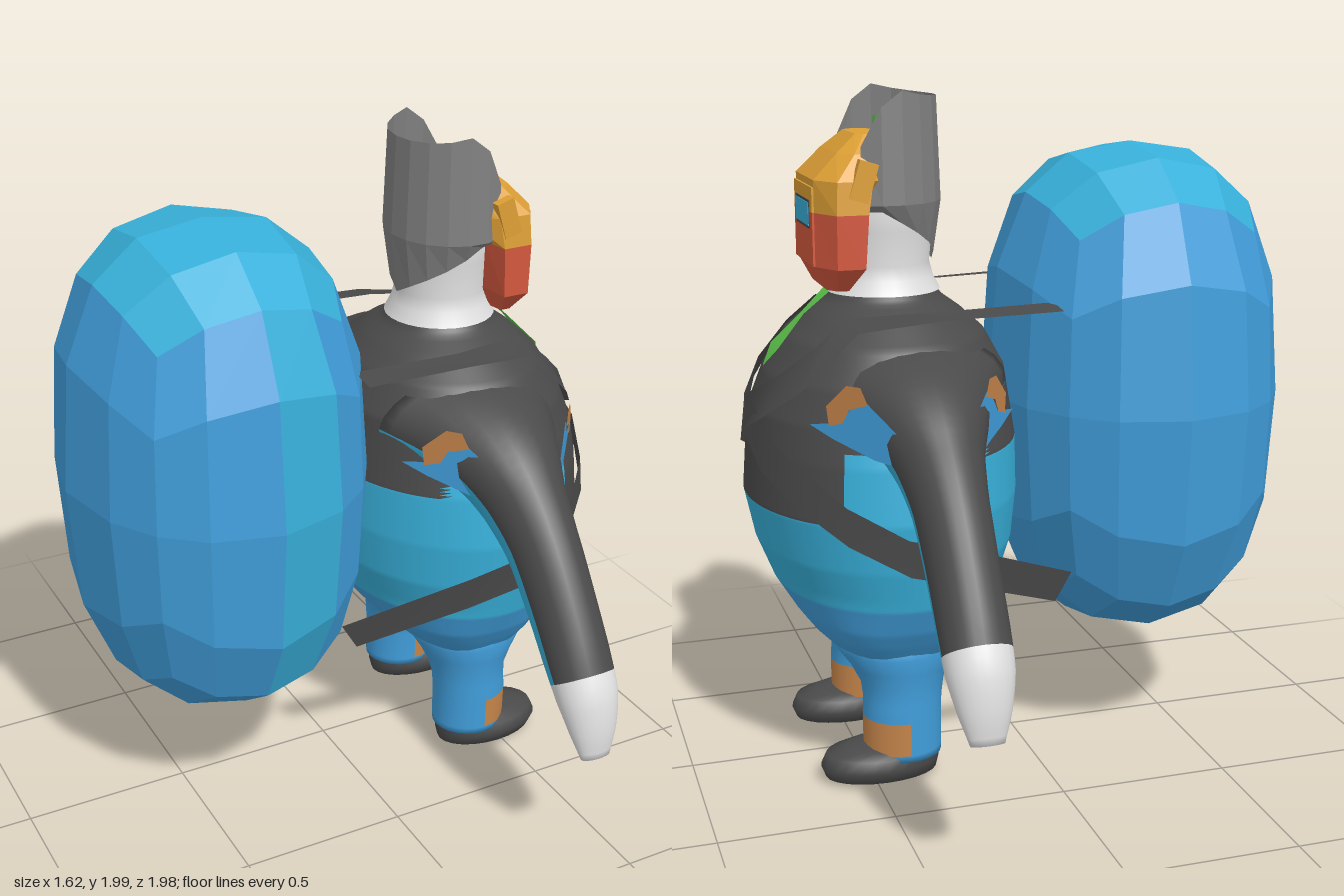
import * as THREE from 'three';

const mat = (name, color, side = THREE.FrontSide) => {
  const m = new THREE.MeshStandardMaterial({ color, side });
  m.name = name;
  return m;
};
const M = {
  dark: mat('charcoal', 0x4a4a4a, THREE.DoubleSide),
  grey: mat('grey', 0x808080, THREE.DoubleSide),
  white: mat('offWhite', 0xe2e2e2),
  amber: mat('amber', 0xdd9f35),
  tan: mat('tan', 0xc4844a, THREE.DoubleSide),
  red: mat('red', 0xd5593f),
  green: mat('green', 0x5cc24a, THREE.DoubleSide),
  blue: mat('blue', 0x419edb, THREE.DoubleSide),
  cyan: mat('cyan', 0x38b0da),
};
const V = (x, y, z) => new THREE.Vector3(x, y, z);
const lerp = THREE.MathUtils.lerp;

function add(group, name, geo, material) {
  const mesh = new THREE.Mesh(geo, material);
  mesh.name = name;
  group.add(mesh);
  return mesh;
}

// Closed skin over rings of points, both ends capped, always facing outwards
function loft(rings, flat = false) {
  const n = rings[0].length, last = rings.length - 1, pts = rings.flat(), tri = [];
  for (let i = 0; i < last; i++) {
    for (let j = 0; j < n; j++) {
      const a = i * n + j, b = i * n + (j + 1) % n;
      tri.push([a, b, a + n], [b, b + n, a + n]);
    }
  }
  for (const i of [0, last]) {
    const c = pts.length;
    pts.push(rings[i].reduce((s, p) => s.add(p), V(0, 0, 0)).divideScalar(n));
    for (let j = 0; j < n; j++) {
      const a = i * n + j, b = i * n + (j + 1) % n;
      tri.push(i ? [a, b, c] : [b, a, c]);
    }
  }
  const mid = pts[pts.length - 1].clone().lerp(pts[pts.length - 2], 0.5);
  let volume = 0;
  for (const [a, b, c] of tri) {
    volume += pts[a].clone().sub(mid).dot(pts[b].clone().sub(mid).cross(pts[c].clone().sub(mid)));
  }
  if (volume < 0) tri.forEach(t => t.reverse());
  let geo = new THREE.BufferGeometry().setFromPoints(pts);
  geo.setIndex(tri.flat());
  if (flat) geo = geo.toNonIndexed();
  geo.computeVertexNormals();
  return geo;
}

// Sort triangles into colour groups by a rule on their centre and quad number
function paint(group, name, geo, rule) {
  const pos = geo.attributes.position, buckets = new Map();
  const idx = geo.index ? Array.from(geo.index.array) : Array.from({ length: pos.count }, (_, i) => i);
  for (let i = 0; i < idx.length; i += 3) {
    const c = V(0, 0, 0);
    for (let k = 0; k < 3; k++) c.add(V(0, 0, 0).fromBufferAttribute(pos, idx[i + k]));
    const m = rule(c.divideScalar(3), Math.floor(i / 6));
    if (!buckets.has(m)) buckets.set(m, []);
    buckets.get(m).push(idx[i], idx[i + 1], idx[i + 2]);
  }
  geo.setIndex([...buckets.values()].flat());
  let start = 0, k = 0;
  for (const b of buckets.values()) { geo.addGroup(start, b.length, k++); start += b.length; }
  return add(group, name, geo, [...buckets.keys()]);
}

// Strip between pairs of edge points
function ribbon(pairs) {
  const geo = new THREE.BufferGeometry().setFromPoints(pairs.flat()), idx = [];
  for (let i = 0; i < pairs.length - 1; i++) {
    const a = i * 2;
    idx.push(a, a + 1, a + 2, a + 1, a + 3, a + 2);
  }
  geo.setIndex(idx);
  geo.computeVertexNormals();
  return geo;
}

// Horizontal ring; power above 2 squares it off
const N = 24;
const oval = (y, cx, rx, cz, rz, n = N, power = 2) => Array.from({ length: n }, (_, i) => {
  const a = i / n * Math.PI * 2, c = Math.cos(a), s = Math.sin(a);
  const k = (Math.abs(c) ** power + Math.abs(s) ** power) ** (-1 / power);
  return V(cx + rx * k * c, y, cz + rz * k * s);
});

// Torso sections: height, centre x, half depth, half width
const TORSO = [
  [0.31, 0.4, 0.05, 0.05], [0.33, 0.4, 0.09, 0.12], [0.36, 0.405, 0.135, 0.24], [0.4, 0.41, 0.185, 0.335],
  [0.45, 0.41, 0.235, 0.37], [0.5, 0.405, 0.278, 0.402], [0.58, 0.402, 0.33, 0.437], [0.7, 0.405, 0.375, 0.465],
  [0.84, 0.412, 0.397, 0.48], [1.0, 0.407, 0.39, 0.465], [1.1, 0.407, 0.375, 0.44], [1.2, 0.395, 0.348, 0.41],
  [1.3, 0.39, 0.29, 0.335], [1.36, 0.39, 0.225, 0.25], [1.4, 0.39, 0.17, 0.175], [1.43, 0.39, 0.15, 0.15],
];
function section(y) {
  let i = 0;
  while (i < TORSO.length - 2 && TORSO[i + 1][0] < y) i++;
  const a = TORSO[i], b = TORSO[i + 1], t = (y - a[0]) / (b[0] - a[0]);
  return [1, 2, 3].map(k => lerp(a[k], b[k], t));
}
function onTorso(y, degrees, offset, side) {
  const [cx, rx, rz] = section(y), a = degrees * Math.PI / 180;
  return V(cx + (rx + offset) * Math.cos(a), y, side * (rz + offset) * Math.sin(a));
}

// Armpit patches, as distance from the arm's middle and height
const PATCHES = [
  ['Patch', M.blue, 0, [[0.1, 1.12], [0.17, 1.2], [0.2, 1.17], [0.22, 1.13], [0.29, 1.11], [0.24, 1.08], [0.15, 1.04], [0.09, 1.03]]],
  ['PatchTrim', M.tan, 0.004, [[0.16, 1.19], [0.175, 1.235], [0.205, 1.235], [0.25, 1.17], [0.245, 1.115], [0.215, 1.13], [0.2, 1.17]]],
];

function buildLimbs(g, s) {
  const side = s > 0 ? 'right' : 'left';

  // Leg with sock, and shoe
  const legRows = [[0.08, 0.41, 0.115, 0.225, 0.108], [0.1, 0.41, 0.115, 0.225, 0.108], [0.2, 0.41, 0.115, 0.225, 0.11],
    [0.25, 0.407, 0.115, 0.222, 0.113], [0.3, 0.405, 0.122, 0.212, 0.122], [0.35, 0.407, 0.145, 0.197, 0.147],
    [0.4, 0.41, 0.178, 0.185, 0.165], [0.45, 0.41, 0.19, 0.18, 0.165], [0.5, 0.41, 0.15, 0.17, 0.13]];
  paint(g, side + 'Leg', loft(legRows.map(([y, cx, rx, cz, rz]) => oval(y, cx, rx, s * cz, rz))), (c, q) => {
    const j = q % N;
    return Math.floor(q / N) === 1 && (j < N / 4 || j >= N * 0.75) ? M.tan : M.blue;
  });
  const shoeRows = [[0.005, 0.46, 0.13, 0.06], [0.02, 0.475, 0.165, 0.095], [0.055, 0.478, 0.176, 0.11],
    [0.09, 0.468, 0.17, 0.104], [0.107, 0.44, 0.14, 0.085], [0.115, 0.42, 0.11, 0.06]];
  add(g, side + 'Shoe', loft(shoeRows.map(([y, cx, rx, rz]) => oval(y, cx, rx, s * 0.225, rz))), M.dark);

  // Arm flaring into the shoulder: z, y, radius across, radius along x
  const P = [[0.2, 1.17, 0.16, 0.29], [0.33, 1.14, 0.15, 0.22], [0.44, 1.095, 0.142, 0.165], [0.54, 1.02, 0.13, 0.122],
    [0.64, 0.93, 0.116, 0.103], [0.745, 0.8, 0.107, 0.097], [0.84, 0.67, 0.094, 0.095], [0.9, 0.58, 0.079, 0.091],
    [0.938, 0.49, 0.052, 0.072], [0.96, 0.41, 0.024, 0.046]];
  const path = new THREE.CatmullRomCurve3(P.map(p => V(0, p[1], p[0])));
  const size = new THREE.CatmullRomCurve3(P.map(p => V(p[2], p[3], 0)));
  const rows = 36, rings = [];
  for (let i = 0; i <= rows; i++) {
    const t = i / rows, c = path.getPoint(t), d = path.getTangent(t), r = size.getPoint(t);
    rings.push(Array.from({ length: N }, (_, j) => {
      const a = j / N * Math.PI * 2, u = r.x * Math.cos(a);
      return V(0.37 + r.y * Math.sin(a), c.y + d.z * u, s * (c.z - d.y * u));
    }));
  }
  paint(g, side + 'Arm', loft(rings), (c, q) => {
    const row = Math.floor(q / N), j = q % N;
    if (row >= 26) return row < rows || c.y < 0.7 ? M.white : M.dark;
    return j >= 6 && j < 18 ? M.cyan : M.dark;
  });

  // Patches in front of and behind the arm root
  for (const f of [1, -1]) {
    for (const [name, material, lift, outline] of PATCHES) {
      const geo = new THREE.ShapeGeometry(new THREE.Shape(outline.map(p => new THREE.Vector2(...p))));
      const pos = geo.attributes.position;
      for (let i = 0; i < pos.count; i++) {
        const d = pos.getX(i);
        pos.setXYZ(i, 0.385 + f * (d + lift), pos.getY(i), s * (0.4 + lift - 1.2 * (d - 0.215)));
      }
      geo.computeVertexNormals();
      add(g, side + (f > 0 ? 'Front' : 'Back') + name, geo, material);
    }
  }

  // Strap over the shoulder, across the chest and round to the pack
  const strap = [
    [V(-0.04, 1.39, s * 0.36), V(-0.04, 1.4, s * 0.27)],
    [V(0.3, 1.38, s * 0.345), V(0.3, 1.39, s * 0.265)],
    [V(0.53, 1.35, s * 0.3), V(0.55, 1.375, s * 0.2)],
  ];
  for (const [y, a] of [[1.25, 38], [1.16, 20], [1.09, 0], [1.01, -22], [0.94, -42], [0.85, -62], [0.76, -85], [0.7, -112]]) {
    strap.push([onTorso(y - 0.06, a, 0.02, s), onTorso(y + 0.05, a, 0.02, s)]);
  }
  strap.push([V(-0.04, 0.515, -s * 0.3), V(-0.09, 0.6, -s * 0.3)]);
  add(g, side + 'Strap', ribbon(strap), M.dark);

  // Mask side tab
  const tab = add(g, side + 'MaskTab', new THREE.BoxGeometry(0.055, 0.11, 0.03), M.amber);
  tab.position.set(0.487, 1.75, s * 0.2);
  tab.rotation.z = 0.3;
}

function buildHead(g) {
  // Neck and skull
  const profile = [[0.165, 1.42], [0.145, 1.46], [0.135, 1.5], [0.145, 1.6], [0.155, 1.7], [0.12, 1.79], [0, 1.83]];
  add(g, 'neckAndHead', new THREE.LatheGeometry(profile.map(p => new THREE.Vector2(...p)), 28), M.white).position.x = 0.39;

  // Open upright shell wrapping the back of the head
  const shell = [];
  for (let i = -6; i <= 6; i++) {
    const deg = i * 20, a = deg * Math.PI / 180, k = Math.abs(deg);
    const top = k <= 90 ? 1.97 + 0.03 * (k / 90) ** 3 : lerp(2.0, 1.84, (k - 90) / 30);
    const low = 1.5 + 0.16 * Math.min(1, k / 100);
    const at = (y, r) => V(0.4 - 0.17 * r * Math.cos(a), y, 0.19 * r * Math.sin(a));
    shell.push([at(low, 0.92), at(1.68, 1.05), at(top, 0.99)]);
  }
  for (const k of [0, 1]) {
    const part = ribbon(shell.map(c => [c[k], c[k + 1]])).toNonIndexed();
    part.computeVertexNormals();
    add(g, k ? 'headShellUpper' : 'headShellLower', part, M.grey);
  }

  // Face mask: y, back x, side x, shoulder x, front x, half width, front half width
  const rows = [[1.44, 0.51, 0.52, 0.55, 0.575, 0.14, 0.1], [1.51, 0.475, 0.485, 0.565, 0.61, 0.21, 0.125],
    [1.66, 0.46, 0.475, 0.565, 0.61, 0.215, 0.125], [1.75, 0.38, 0.46, 0.56, 0.61, 0.208, 0.125],
    [1.82, 0.38, 0.45, 0.5, 0.54, 0.16, 0.11], [1.87, 0.39, 0.42, 0.46, 0.48, 0.1, 0.08]];
  const rings = rows.map(([y, xb, xs, xm, xf, w, f]) =>
    [[xb, 0.6 * w], [xs, w], [xm, w], [xf, f], [xf, -f], [xm, -w], [xs, -w], [xb, -0.6 * w]].map(([x, z]) => V(x, y, z)));
  paint(g, 'mask', loft(rings, true), c => (c.y > 1.66 ? M.amber : M.red));
  const plate = (name, y0, y1, w, x, m) =>
    add(g, name, new THREE.BoxGeometry(0.008, y1 - y0, w), m).position.set(x, (y0 + y1) / 2, 0);
  plate('maskPlateLower', 1.51, 1.66, 0.25, 0.612, M.red);
  plate('maskPlateUpper', 1.66, 1.73, 0.25, 0.612, M.amber);
  plate('visorFrame', 1.612, 1.692, 0.19, 0.614, M.dark);
  plate('visor', 1.62, 1.685, 0.175, 0.616, M.cyan);

  // Green tuft on the crown
  const tuft = add(g, 'tuftTop', new THREE.CylinderGeometry(0.058, 0.058, 0.06, 8), M.green);
  tuft.position.set(0.33, 1.875, 0.09);
  tuft.rotation.x = 0.25;
  add(g, 'tuftBase', new THREE.CylinderGeometry(0.075, 0.075, 0.06, 8), M.green).position.set(0.32, 1.82, 0.04);
}

export function createModel() {
  const g = new THREE.Group();
  g.name = 'packCarrier';

  // Torso: blue seat, cyan belly, jacket with a raised hem at the sides and back
  const torso = [];
  for (let i = 0; i <= 112; i++) {
    const y = 0.31 + i * 0.01, [cx, rx, rz] = section(y);
    torso.push(oval(y, cx, rx, 0, rz, 72, lerp(2.8, 2, THREE.MathUtils.smoothstep(y, 0.38, 0.62))));
  }
  paint(g, 'torso', loft(torso), c => {
    if (c.y < 0.58) return M.blue;
    return c.y > (c.x > 0.6 ? 0.84 : c.x > 0.2 ? 1.04 : 1.0) ? M.dark : M.cyan;
  });

  // Tie
  const tie = [[1.425, 0.04], [1.36, 0.018], [1.27, 0.055], [1.215, 0.003]].map(([y, w]) => {
    const p = onTorso(y, 0, 0.012, 1);
    return [V(p.x, y, w), V(p.x, y, -w)];
  });
  add(g, 'tie', ribbon(tie), M.green);

  for (const s of [1, -1]) buildLimbs(g, s);
  buildHead(g);

  // Pack: cube grid rounded into a faceted drum
  let pack = new THREE.BoxGeometry(2, 2.2, 2, 4, 4, 4);
  const pos = pack.attributes.position, p = 2.7;
  for (let i = 0; i < pos.count; i++) {
    const v = V(0, 0, 0).fromBufferAttribute(pos, i);
    v.divideScalar((Math.hypot(v.x, v.z) ** p + Math.abs(v.y) ** p) ** (1 / p));
    pos.setXYZ(i, -0.37 + v.x * 0.442, 1.085 + v.y * 0.737, v.z * 0.512);
  }
  pack = pack.toNonIndexed();
  pack.clearGroups();
  pack.computeVertexNormals();
  // One shared normal for each four-sided facet
  const nor = pack.attributes.normal;
  for (let i = 0; i < nor.count; i += 6) {
    const n = V(0, 0, 0).fromBufferAttribute(nor, i).add(V(0, 0, 0).fromBufferAttribute(nor, i + 3)).normalize();
    for (let k = 0; k < 6; k++) nor.setXYZ(i + k, n.x, n.y, n.z);
  }
  paint(g, 'pack', pack, c =>
    (c.y > 1.6 || (c.z > 0.3 && c.x > -0.37 && c.x < -0.19 && c.y > 0.5) ? M.cyan : M.blue));

  return g;
}
